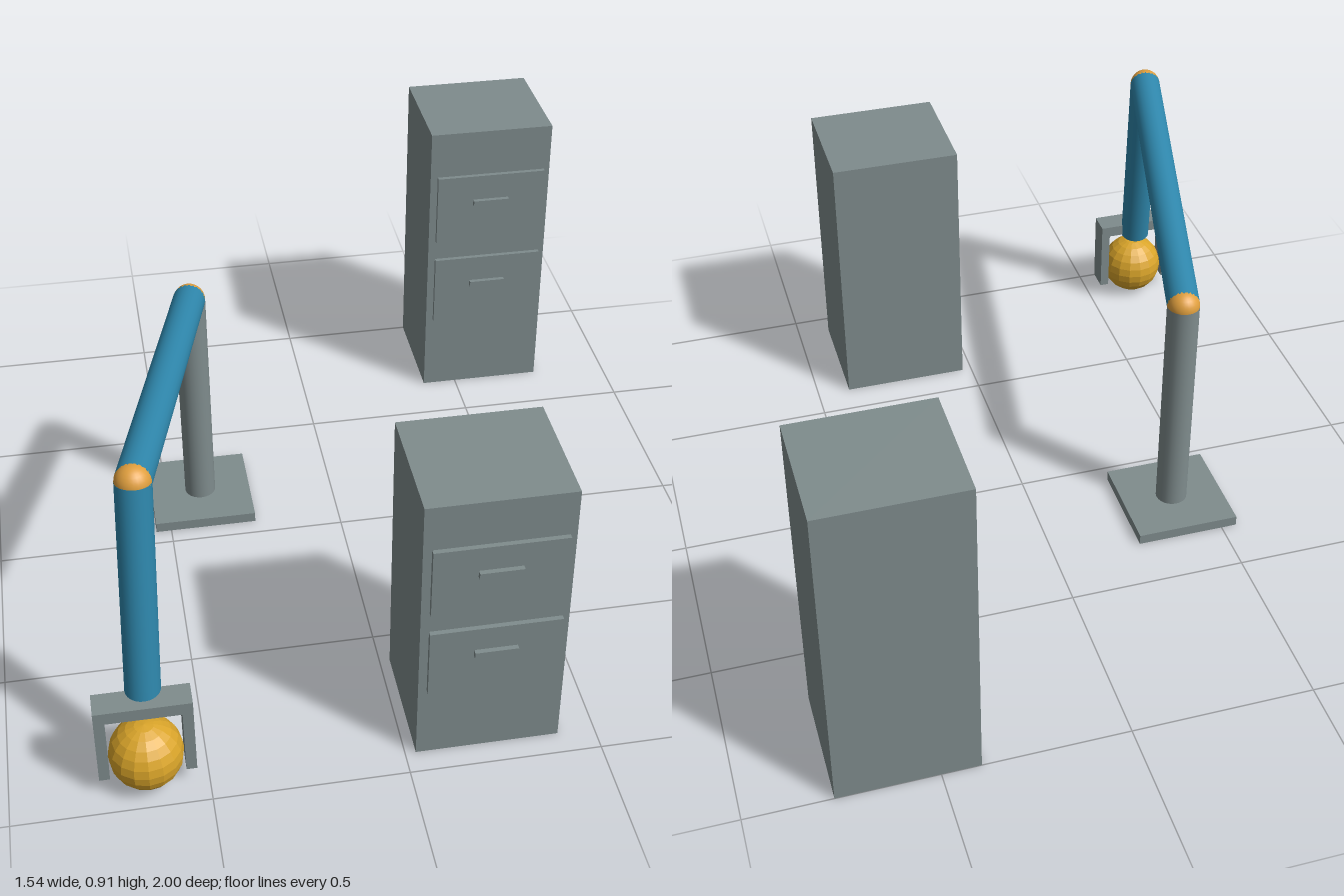
import * as THREE from 'three';

const paint = (name, color) => {
  const m = new THREE.MeshStandardMaterial({ color });
  m.name = name;
  return m;
};

export function createModel() {
  const grey = paint('steel grey', 0x7f8c8d);
  const blue = paint('arm blue', 0x2e86ab);
  const orange = paint('joint orange', 0xe09f3e);
  const gold = paint('ball gold', 0xdaa52a);
  gold.flatShading = true;

  const model = new THREE.Group();
  model.name = 'robotArmAndCabinets';

  const add = (parent, name, geometry, material) => {
    const mesh = new THREE.Mesh(geometry, material);
    mesh.name = name;
    parent.add(mesh);
    return mesh;
  };

  // Box given by its two extreme corners
  const box = (parent, name, [x0, y0, z0], [x1, y1, z1], material = grey) => {
    const mesh = add(parent, name, new THREE.BoxGeometry(x1 - x0, y1 - y0, z1 - z0), material);
    mesh.position.set((x0 + x1) / 2, (y0 + y1) / 2, (z0 + z1) / 2);
    return mesh;
  };

  // Round bar between two points
  const bar = (parent, name, from, to, radius, material) => {
    const axis = to.clone().sub(from);
    const mesh = add(parent, name, new THREE.CylinderGeometry(radius, radius, axis.length(), 24), material);
    mesh.position.copy(from).add(to).multiplyScalar(0.5);
    mesh.quaternion.setFromUnitVectors(new THREE.Vector3(0, 1, 0), axis.normalize());
    return mesh;
  };

  const ball = (parent, name, centre, radius, w, h, material) => {
    const mesh = add(parent, name, new THREE.SphereGeometry(radius, w, h), material);
    mesh.position.copy(centre);
    return mesh;
  };

  // Filing cabinets: body, two floating drawer fronts and their handles
  const cabinet = (name, x, front, height, drawers) => {
    const group = new THREE.Group();
    group.name = name;
    model.add(group);
    box(group, 'body', [x - 0.187, 0, front - 0.34], [x + 0.187, height, front]);
    for (const [low, high, grip] of drawers) {
      box(group, 'drawer', [x - 0.167, low, front + 0.008], [x + 0.167, high, front + 0.021]);
      box(group, 'handle', [x - 0.055, grip - 0.009, front + 0.021], [x + 0.055, grip + 0.009, front + 0.034]);
    }
  };
  cabinet('frontCabinet', 0.215, 0.935, 0.8, [[0.225, 0.422, 0.346], [0.482, 0.68, 0.602]]);
  cabinet('backCabinet', 0.583, -0.66, 0.91, [[0.255, 0.481, 0.39], [0.546, 0.77, 0.681]]);

  // Jointed arm on a post
  const arm = new THREE.Group();
  arm.name = 'robotArm';
  model.add(arm);
  const foot = new THREE.Vector3(-0.397, 0.03, -0.198);
  const shoulder = new THREE.Vector3(-0.397, 0.705, -0.198);
  const elbow = new THREE.Vector3(-0.623, 0.847, 0.774);
  const wrist = new THREE.Vector3(-0.647, 0.237, 0.87);
  box(arm, 'basePlate', [-0.544, 0, -0.346], [-0.25, 0.03, -0.051]);
  bar(arm, 'post', foot, shoulder, 0.045, grey);
  bar(arm, 'upperArm', shoulder, elbow, 0.045, blue);
  bar(arm, 'forearm', elbow, wrist, 0.045, blue);
  ball(arm, 'shoulderJoint', shoulder, 0.045, 24, 16, orange);
  ball(arm, 'elbowJoint', elbow, 0.045, 24, 16, orange);

  // Gripper: palm bar with two mirrored fingers
  const gripper = new THREE.Group();
  gripper.name = 'gripper';
  gripper.position.set(-0.652, 0, 0.9);
  arm.add(gripper);
  box(gripper, 'palm', [-0.122, 0.24, -0.035], [0.122, 0.275, 0.035]);
  for (const side of [-1, 1]) {
    const finger = box(gripper, 'finger', [-0.0135, 0.048, -0.035], [0.0135, 0.24, 0.035]);
    finger.position.x = side * 0.1085;
  }

  // Ball held between the fingers
  ball(model, 'ball', new THREE.Vector3(-0.652, 0.096, 0.903), 0.095, 16, 12, gold);

  return model;
}
